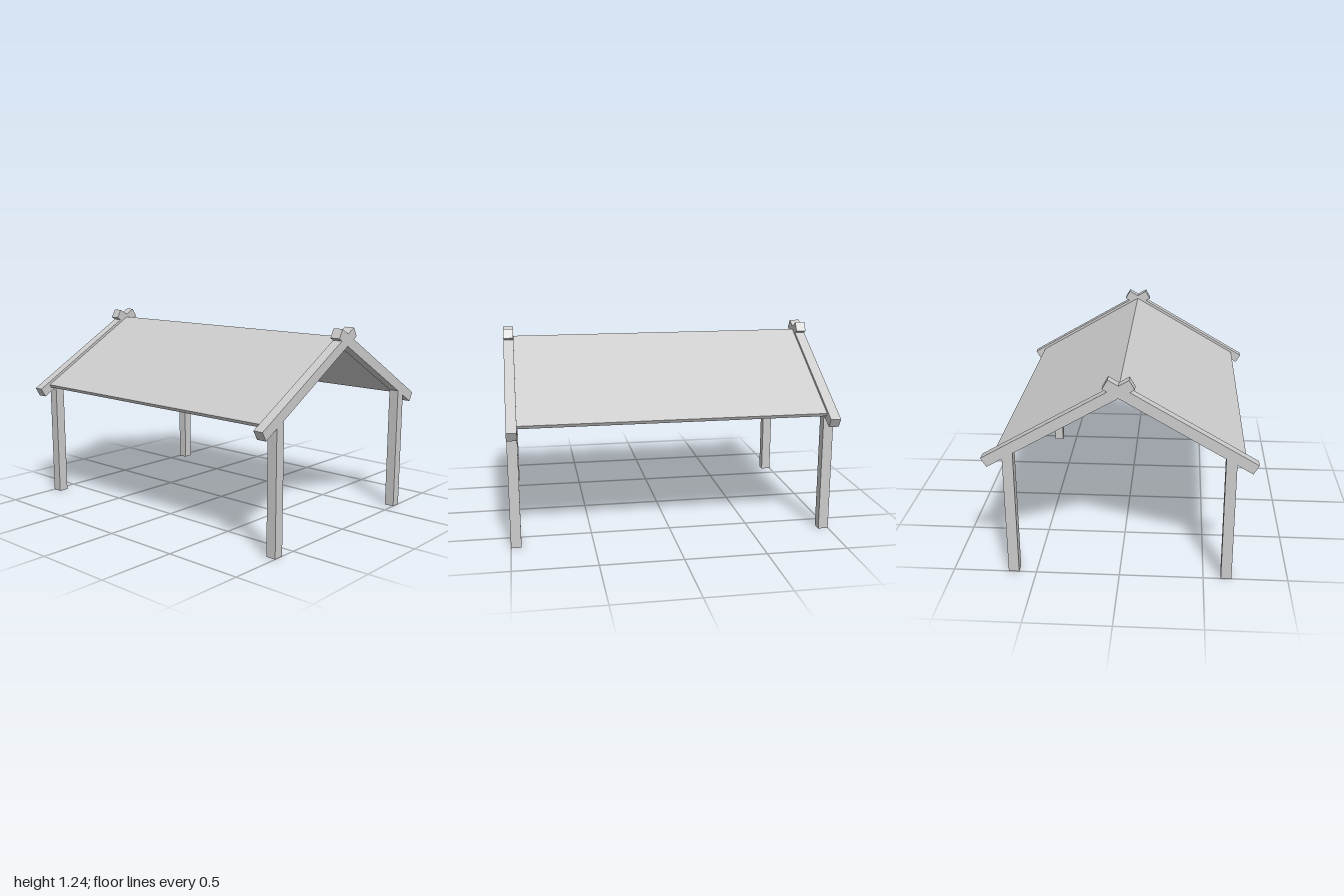
import * as THREE from 'three';

export function createModel() {
  const model = new THREE.Group();
  const material = new THREE.MeshStandardMaterial({ color: 0xcccccc, flatShading: true });
  const pitch = Math.PI / 6;
  const beam = 0.063;
  const frameX = 0.969;

  const add = (name, geometry, x, y, z, tilt = 0) => {
    const mesh = new THREE.Mesh(geometry, material);
    mesh.name = name;
    mesh.position.set(x, y, z);
    mesh.rotation.x = tilt;
    model.add(mesh);
  };

  // Two end frames: upright posts and rafters that cross above the ridge
  const post = new THREE.BoxGeometry(beam, 0.785, beam);
  const rafter = new THREE.BoxGeometry(beam, beam, 0.982);
  for (const [side, sx] of [['left', 1], ['right', -1]]) {
    for (const [end, sz] of [['Front', 1], ['Back', -1]]) {
      add(`${side}${end}Post`, post, sx * frameX, 0.3925, sz * 0.636);
      add(`${side}${end}Rafter`, rafter, sx * frameX, 0.968, sz * 0.35, sz * pitch);
    }
  }

  // Thin gabled roof sheet between the frames, extruded along x
  const ridgeY = 1.187, eaveZ = 0.72, thickness = 0.023;
  const eaveY = ridgeY - eaveZ * Math.tan(pitch);
  const lowZ = eaveZ - thickness * Math.sin(pitch);
  const lowY = eaveY - thickness * Math.cos(pitch);
  const profile = new THREE.Shape([
    [0, ridgeY], [-eaveZ, eaveY], [-lowZ, lowY],
    [0, ridgeY - thickness / Math.cos(pitch)],
    [lowZ, lowY], [eaveZ, eaveY],
  ].map(([z, y]) => new THREE.Vector2(z, y)));
  const length = 2 * (frameX - beam / 2);
  const roof = new THREE.ExtrudeGeometry(profile, { depth: length, bevelEnabled: false });
  roof.translate(0, 0, -length / 2).rotateY(Math.PI / 2);
  add('roofPanels', roof, 0, 0, 0);

  return model;
}
